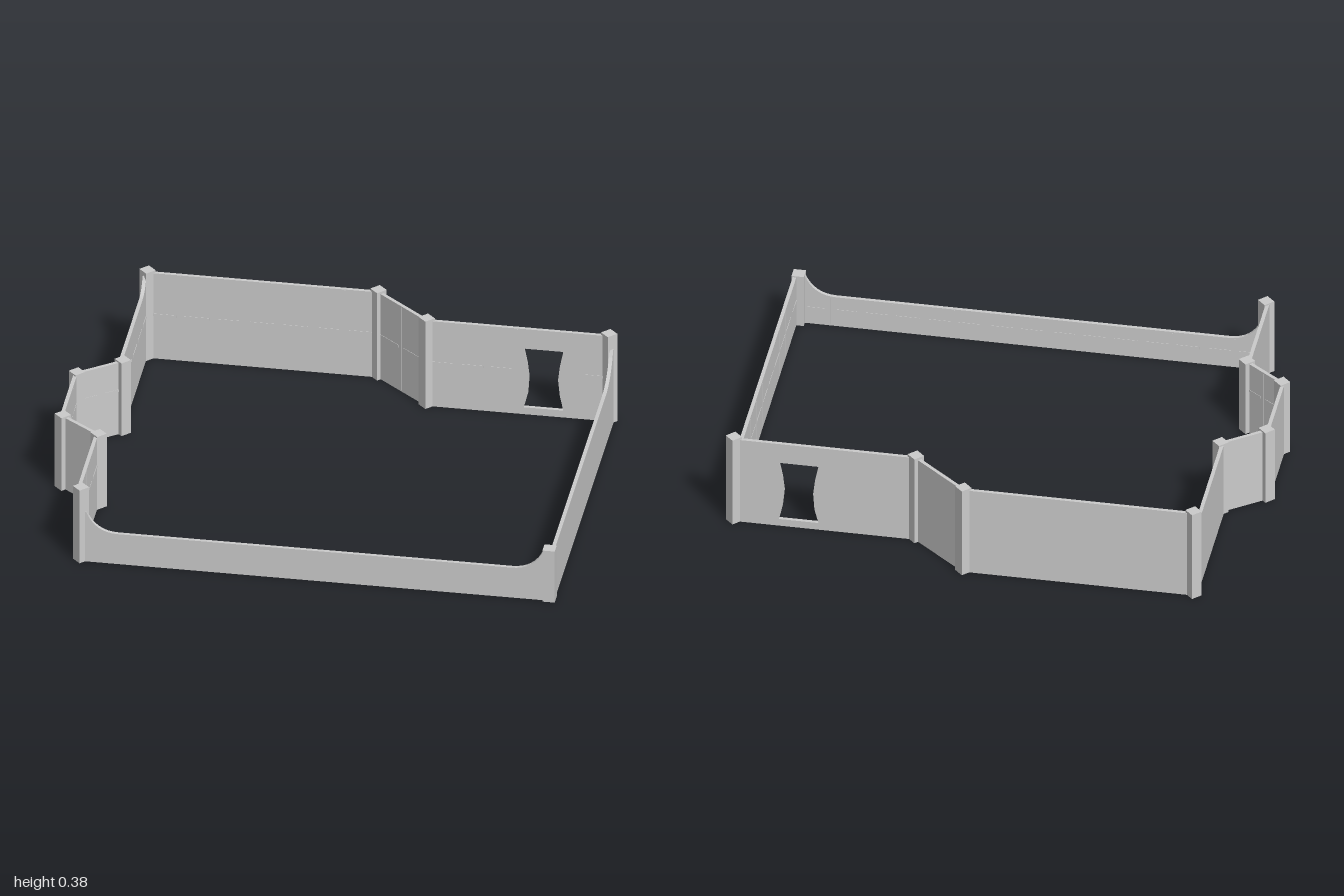
import * as THREE from 'three';

const T = 0.014; // wall thickness
const HIGH = 0.37, MID = 0.31, LOW = 0.217, FRONT = 0.13;

export function createModel() {
  const model = new THREE.Group();
  model.name = 'walledEnclosure';
  const mat = new THREE.MeshStandardMaterial({ color: 0xcccccc, flatShading: true });

  const add = (parent, name, geo, x = 0, y = 0, z = 0) => {
    const mesh = new THREE.Mesh(geo, mat);
    mesh.name = name;
    mesh.position.set(x, y, z);
    parent.add(mesh);
    return mesh;
  };

  // Corner posts, clockwise from the back right: x, z, height
  const posts = [
    [-0.815, -0.757, 0.38], [0.062, -0.757, 0.38], [0.275, -0.58, 0.38], [0.968, -0.58, 0.38],
    [0.965, 0.755, 0.222], [-0.815, 0.755, 0.316], [-0.815, 0.355, 0.316],
    [-0.97, 0.24, 0.316], [-0.97, -0.08, 0.316], [-0.815, -0.195, 0.316],
  ];
  posts.forEach(([x, z, h], i) => {
    if (i === 4) add(model, 'squarePost', new THREE.BoxGeometry(0.047, h, 0.047), x, h / 2, z);
    else add(model, 'diamondPost', new THREE.CylinderGeometry(0.031, 0.031, h, 4), x, h / 2, z);
  });

  // Wall from post i to the next; local z points into the enclosure.
  // start / end: [height at post, length of the curved sweep down to the wall top]
  function wall(name, i, height, { start, end, offset = 0, hole, rail = 0.19 } = {}) {
    const [ax, az] = posts[i], [bx, bz] = posts[(i + 1) % posts.length];
    const len = Math.hypot(bx - ax, bz - az);
    const g = new THREE.Group();
    g.name = name;
    g.position.set(ax, 0, az);
    g.rotation.y = Math.atan2(az - bz, bx - ax);
    model.add(g);

    const s = new THREE.Shape();
    s.moveTo(0, 0);
    s.lineTo(len, 0);
    const inset = 0.022; // sweeps begin at the post face
    if (end) {
      s.lineTo(len, end[0]);
      s.lineTo(len - inset, end[0]);
      s.quadraticCurveTo(len - inset - end[1] * 0.28, height, len - inset - end[1], height);
    } else s.lineTo(len, height);
    if (start) {
      s.lineTo(inset + start[1], height);
      s.quadraticCurveTo(inset + start[1] * 0.28, height, inset, start[0]);
      s.lineTo(0, start[0]);
    } else s.lineTo(0, height);
    s.closePath();
    if (hole) s.holes.push(new THREE.Path(hole.map(([x, y]) => new THREE.Vector2(x - ax, y))));
    const geo = new THREE.ExtrudeGeometry(s, { depth: T, bevelEnabled: false, curveSegments: 8 });
    add(g, name + 'Panel', geo, 0, 0, -T / 2 - offset);

    // Fine board joints and a broken rail on the inner face
    const n = Math.max(1, Math.round(len / 0.12));
    const step = len / n;
    const zIn = T / 2 - offset;
    const blocked = (x0, x1) => hole && x1 + ax > 0.635 && x0 + ax < 0.805;
    for (let k = 0; k < n; k++) {
      const x = k * step;
      if (k > 0 && !blocked(x, x))
        add(g, 'boardJoint', new THREE.BoxGeometry(0.003, height - 0.01, 0.002), x, height / 2, zIn);
      if (rail < height && !blocked(x, x + step))
        add(g, 'rail', new THREE.BoxGeometry(step - 0.03, 0.01, 0.003), x + step / 2, rail, zIn);
    }
  }

  // Tall back walls, the last with a pinched opening
  wall('backWall', 0, HIGH);
  wall('backDiagonalWall', 1, HIGH);
  wall('openingWall', 2, HIGH, {
    hole: [[0.645, 0.03], [0.66, 0.09], [0.665, 0.16], [0.658, 0.22], [0.645, 0.285],
      [0.795, 0.285], [0.782, 0.22], [0.775, 0.16], [0.782, 0.09], [0.795, 0.03]],
  });

  // Lower side and front walls sweeping up to their posts
  wall('leftWall', 3, LOW, { start: [0.32, 0.17], offset: 0.012, rail: 0.11 });
  wall('frontWall', 4, FRONT, { start: [0.215, 0.12], end: [0.215, 0.12], offset: 0.006, rail: 0.07 });

  // Right side with its projecting bay
  wall('rightFrontWall', 5, MID, { offset: 0.008 });
  wall('bayFrontWall', 6, MID);
  wall('bayWall', 7, MID, { offset: 0.004 });
  wall('bayBackWall', 8, MID);
  wall('rightBackWall', 9, MID, { end: [0.362, 0.09], offset: 0.008 });

  return model;
}
